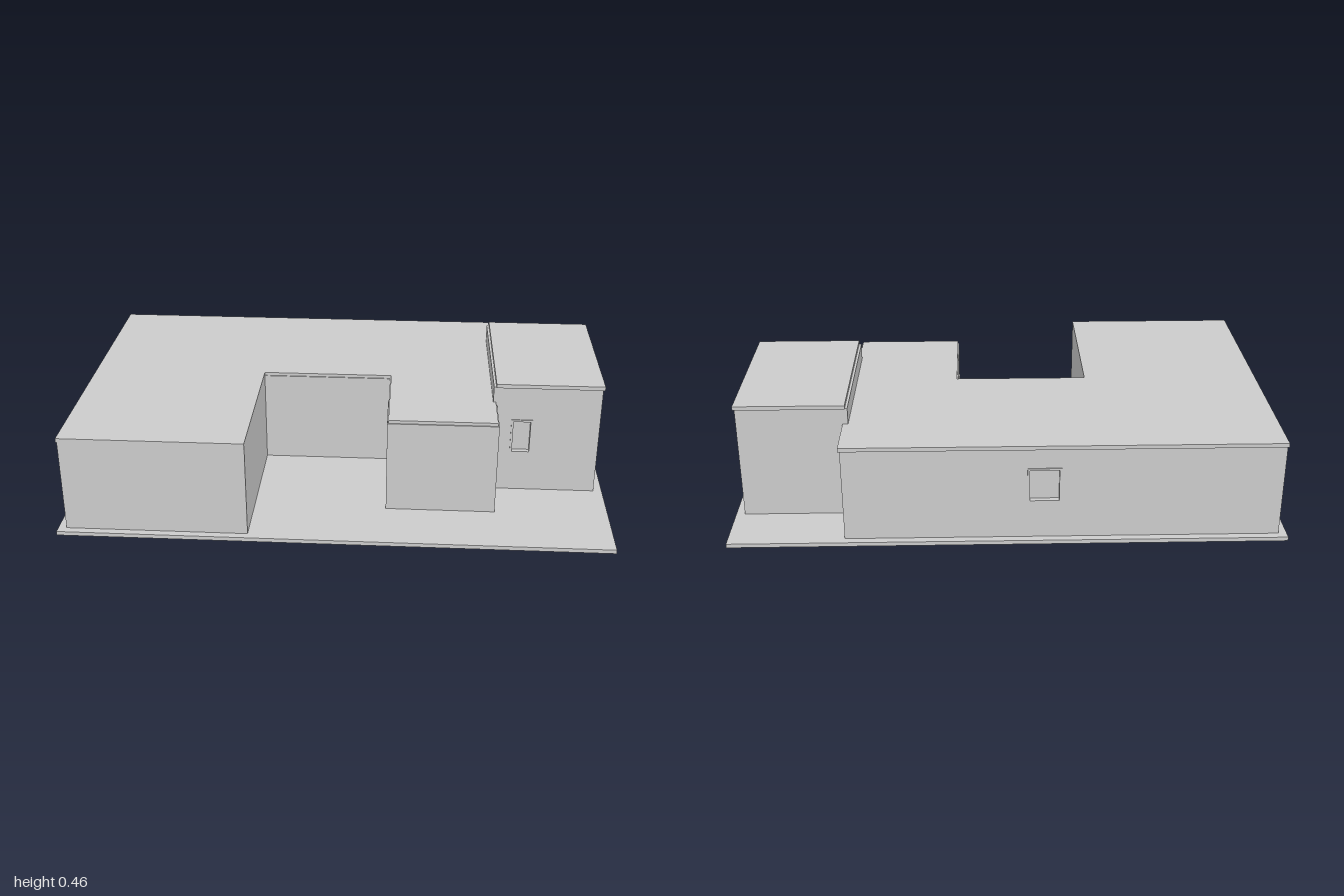
import * as THREE from 'three';

const grey = new THREE.MeshStandardMaterial({ color: 0xcccccc });
grey.name = 'plain grey';

const WALL = 0.02; // wall thickness
const GROUND = 0.015; // top of the base slab

function add(parent, name, geometry, x = 0, y = 0, z = 0) {
  const mesh = new THREE.Mesh(geometry, grey);
  mesh.name = name;
  mesh.position.set(x, y, z);
  parent.add(mesh);
  return mesh;
}

function extrude(shape, depth) {
  return new THREE.ExtrudeGeometry(shape, { depth, bevelEnabled: false });
}

function rectangle(Type, x0, y0, x1, y1) {
  return new Type([[x0, y0], [x1, y0], [x1, y1], [x0, y1]].map(p => new THREE.Vector2(...p)));
}

// Flat slab from a floor plan of [x, z] corners
function slab(plan, height) {
  const shape = new THREE.Shape(plan.map(([x, z]) => new THREE.Vector2(x, -z)));
  return extrude(shape, height).rotateX(-Math.PI / 2);
}

// Framed window set back into a wall; u is its start along the wall
function addWindow(wall, { u, y, w, h }) {
  const bar = 0.008;
  const frame = rectangle(THREE.Shape, u, y, u + w, y + h);
  frame.holes.push(rectangle(THREE.Path, u + bar, y + bar, u + w - bar, y + h - bar));
  add(wall, 'windowFrame', extrude(frame, WALL + 0.004), 0, 0, -WALL);
  add(wall, 'windowPane', new THREE.BoxGeometry(w, h, 0.004), u + w / 2, y + h / 2, -WALL + 0.002);
}

// One wall from a to b, its outer face on the right-hand side of travel
function addWall(parent, a, b, top, window) {
  const dx = b[0] - a[0], dz = b[1] - a[1];
  const wall = new THREE.Group();
  wall.name = 'wall';
  wall.position.set(a[0], 0, a[1]);
  wall.rotation.y = Math.atan2(-dz, dx);
  const shape = rectangle(THREE.Shape, 0, GROUND, Math.hypot(dx, dz), top);
  if (window) {
    const { u, y, w, h } = window;
    shape.holes.push(rectangle(THREE.Path, u, y, u + w, y + h));
    addWindow(wall, window);
  }
  add(wall, 'wallPanel', extrude(shape, WALL), 0, 0, -WALL);
  parent.add(wall);
}

// Ring of walls round a plan; windows are keyed by wall index
function addWalls(parent, plan, top, windows) {
  plan.forEach((a, i) => addWall(parent, a, plan[(i + 1) % plan.length], top, windows[i]));
}

export function createModel() {
  const model = new THREE.Group();
  model.name = 'building';

  add(model, 'baseSlab', new THREE.BoxGeometry(2, GROUND, 1.23), 0, GROUND / 2, 0);

  // Low main building wrapped round a courtyard
  const main = new THREE.Group();
  main.name = 'mainBuilding';
  model.add(main);
  addWalls(main, [
    [-0.97, 0.587], [-0.31, 0.587], [-0.31, -0.01], [0.18, -0.01],
    [0.18, 0.38], [0.583, 0.38], [0.583, -0.587], [-0.97, -0.587],
  ], 0.368, {
    3: { u: 0.08, y: 0.145, w: 0.12, h: 0.165 },
    6: { u: 0.65, y: 0.155, w: 0.12, h: 0.135 },
  });
  const roofPlan = [
    [-0.973, 0.59], [-0.31, 0.59], [-0.31, -0.014], [0.184, -0.014],
    [0.184, 0.376], [0.578, 0.376], [0.578, -0.4], [0.588, -0.4],
    [0.588, -0.595], [-0.973, -0.595],
  ];
  add(main, 'mainRoof', slab(roofPlan, 0.015), 0, 0.365, 0);

  // Taller block on the left side
  const tall = new THREE.Group();
  tall.name = 'tallBlock';
  model.add(tall);
  addWalls(tall, [[0.568, 0.2], [0.968, 0.2], [0.968, -0.405], [0.568, -0.405]], 0.442, {
    0: { u: 0.072, y: 0.17, w: 0.08, h: 0.14 },
  });
  add(tall, 'tallRoof', slab([[0.577, 0.205], [0.974, 0.205], [0.974, -0.41], [0.577, -0.41]], 0.015), 0, 0.44, 0);
  // Narrow ledge beside the taller roof
  add(tall, 'roofLedge', new THREE.BoxGeometry(0.02, 0.006, 0.605), 0.578, 0.439, -0.1025);

  return model;
}
